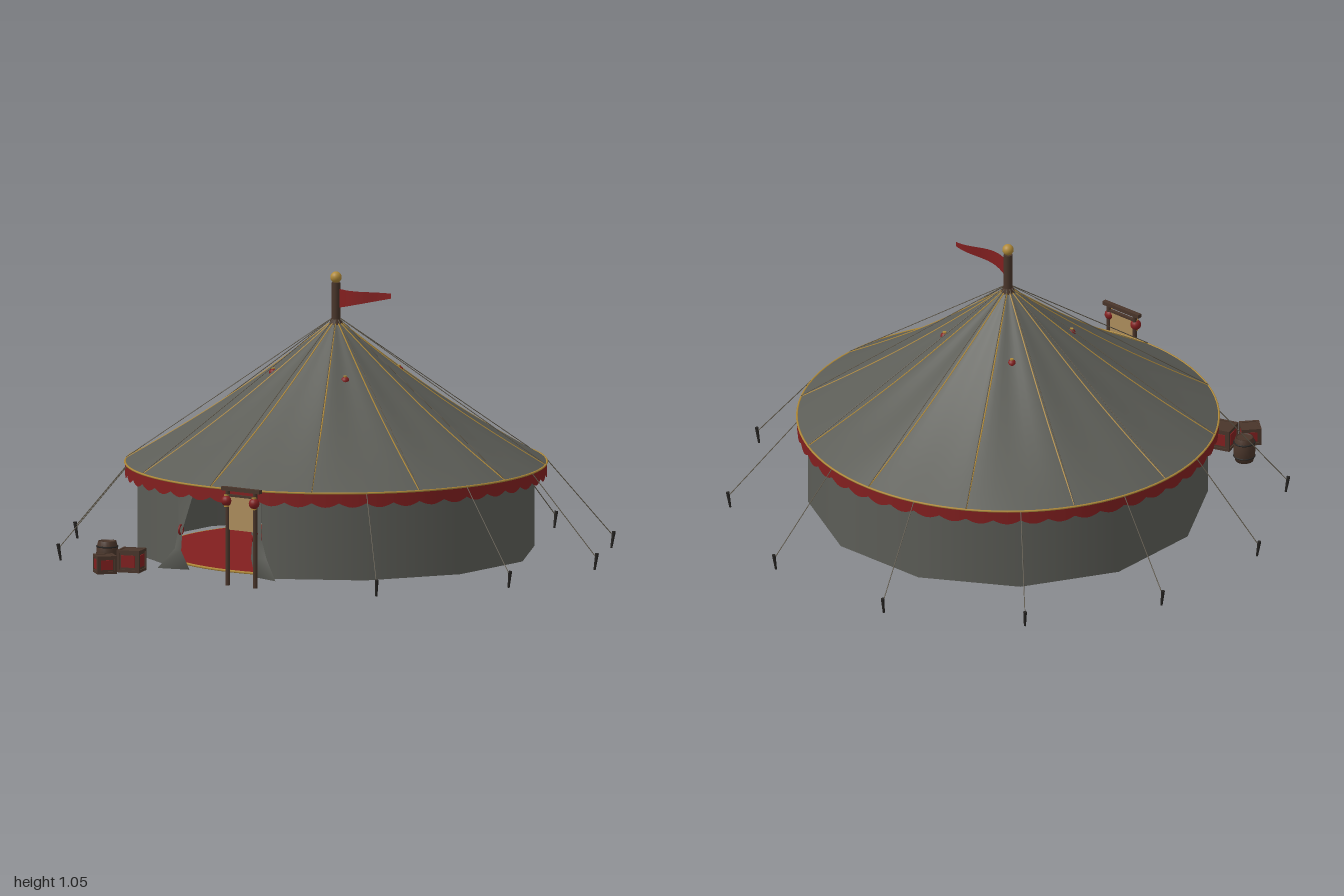
import * as THREE from 'three';

const mat = (name, color, side = THREE.FrontSide) => {
  const m = new THREE.MeshStandardMaterial({ color, side });
  m.name = name;
  return m;
};
const V = (x, y, z) => new THREE.Vector3(x, y, z);
const polar = (deg, r, y) => {
  const a = THREE.MathUtils.degToRad(deg);
  return V(Math.sin(a) * r, y, Math.cos(a) * r);
};

export function createModel() {
  const canvas = mat('grey canvas', 0x5c5d57, THREE.DoubleSide);
  const red = mat('deep red', 0x821f1f, THREE.DoubleSide);
  const gold = mat('dull gold', 0xb08a3a);
  const wood = mat('dark wood', 0x49352a);
  const iron = mat('dark iron', 0x262422);
  const rope = mat('rope', 0x5f584a);
  const parchment = mat('parchment', 0xab8c5c);

  const model = new THREE.Group();
  model.name = 'pavilionTent';
  const add = (parent, name, geo, material, x = 0, y = 0, z = 0) => {
    const m = new THREE.Mesh(geo, material);
    m.name = name;
    m.position.set(x, y, z);
    parent.add(m);
    return m;
  };
  const group = (name, x = 0, y = 0, z = 0, parent = model) => {
    const g = new THREE.Group();
    g.name = name;
    g.position.set(x, y, z);
    parent.add(g);
    return g;
  };
  // Straight round bar between two points
  const rod = (parent, name, a, b, r, material, r2 = r, sides = 6) => {
    const d = b.clone().sub(a);
    const m = add(parent, name, new THREE.CylinderGeometry(r2, r, d.length(), sides), material);
    m.position.copy(a).add(b).multiplyScalar(0.5);
    m.quaternion.setFromUnitVectors(V(0, 1, 0), d.normalize());
    return m;
  };
  const box = (parent, name, w, h, d, material, x, y, z) =>
    add(parent, name, new THREE.BoxGeometry(w, h, d), material, x, y, z);

  const tent = group('tent', 0, 0, 0.007);

  // Roof: concave cone, the cloth dips a little between twelve seams
  const EAVE = 0.775, EAVE_Y = 0.345, PEAK_Y = 0.86;
  const roofPoint = (t) => new THREE.Vector2(
    0.022 + (EAVE - 0.022) * t,
    PEAK_Y + (EAVE_Y - PEAK_Y) * t - 0.022 * Math.sin(Math.PI * t));
  const profile = [];
  for (let i = 12; i >= 0; i--) profile.push(roofPoint(i / 12));
  const roof = new THREE.LatheGeometry(profile, 96);
  const rp = roof.attributes.position;
  for (let i = 0; i < rp.count; i++) {
    const x = rp.getX(i), z = rp.getZ(i);
    const t = Math.hypot(x, z) / EAVE;
    const dip = Math.sin(6 * Math.atan2(x, z)) ** 2;
    rp.setY(i, rp.getY(i) - 0.012 * dip * Math.sin(Math.PI * Math.min(t, 1)));
  }
  roof.computeVertexNormals();
  add(tent, 'roof', roof, canvas);

  // Gold seams and the ridge ropes stretched above them
  for (let k = 0; k < 12; k++) {
    const pts = [0, 0.25, 0.5, 0.75, 1].map((t) => {
      const p = roofPoint(t);
      return polar(k * 30, p.x, p.y);
    });
    add(tent, 'roofSeam', new THREE.TubeGeometry(new THREE.CatmullRomCurve3(pts), 16, 0.0028, 5), gold);
    rod(tent, 'ridgeRope', polar(k * 30, 0.02, 0.875), polar(k * 30, EAVE, 0.349), 0.0016, rope);
  }
  add(tent, 'eaveTrim', new THREE.TorusGeometry(EAVE, 0.004, 6, 96), gold, 0, EAVE_Y, 0).rotation.x = Math.PI / 2;

  // Scalloped valance
  const valance = new THREE.LatheGeometry(
    [new THREE.Vector2(EAVE, 0.31), new THREE.Vector2(EAVE, EAVE_Y)], 288);
  const vp = valance.attributes.position;
  for (let i = 0; i < vp.count; i++) {
    if (vp.getY(i) > 0.33) continue;
    const a = Math.atan2(vp.getX(i), vp.getZ(i));
    vp.setY(i, 0.308 - 0.016 * Math.abs(Math.sin(24 * a)));
  }
  add(tent, 'valance', valance, red);

  // Twelve-sided wall with the front panel left open
  const rad = THREE.MathUtils.degToRad;
  add(tent, 'wall', new THREE.LatheGeometry(
    [new THREE.Vector2(0.737, 0.015), new THREE.Vector2(0.737, 0.355)], 11, rad(15), rad(330)), canvas);

  // Floor carpet with gold edge
  add(tent, 'carpet', new THREE.CylinderGeometry(0.645, 0.645, 0.008, 64), red, 0, 0.017, 0);
  add(tent, 'carpetEdge', new THREE.TorusGeometry(0.645, 0.005, 6, 64), gold, 0, 0.017, 0).rotation.x = Math.PI / 2;

  // Door flaps, gathered at a red tie and flaring at the foot
  for (const s of [-1, 1]) {
    const rows = [ // y, outer x, inner x, outer z, inner z
      [0.34, 0.19, 0.11, 0.712, 0.712],
      [0.25, 0.19, 0.135, 0.715, 0.722],
      [0.165, 0.19, 0.16, 0.715, 0.73],
      [0.09, 0.21, 0.16, 0.71, 0.738],
      [0.015, 0.27, 0.15, 0.735, 0.70],
    ];
    const pos = [], idx = [];
    rows.forEach(([y, xo, xi, zo, zi], i) => {
      pos.push(s * xo, y, zo, s * xi, y, zi);
      const n = i * 2;
      if (i < rows.length - 1) idx.push(n, n + 2, n + 1, n + 1, n + 2, n + 3);
    });
    const flap = new THREE.BufferGeometry();
    flap.setAttribute('position', new THREE.Float32BufferAttribute(pos, 3));
    flap.setIndex(s < 0 ? idx : idx.reverse());
    flap.computeVertexNormals();
    add(tent, 'doorFlap', flap, canvas);
    const tie = add(tent, 'flapTie', new THREE.TorusGeometry(0.017, 0.004, 6, 16), red, s * 0.172, 0.165, 0.723);
    tie.rotation.y = Math.PI / 2 - s * 0.2;
  }

  // Guy ropes and stakes, none in front of the door
  for (let k = 1; k < 11; k++) {
    const a = 15 + k * 30;
    rod(tent, 'guyRope', polar(a, EAVE, EAVE_Y), polar(a, 1.03, 0.045), 0.0018, rope);
    rod(tent, 'stake', polar(a, 1.022, 0), polar(a, 1.032, 0.062), 0.004, iron, 0.007);
  }

  // Centre pole, finial and pennant
  rod(tent, 'centrePole', V(0, 0.02, 0), V(0, 1.01, 0), 0.018, wood, 0.016, 16);
  add(tent, 'poleCollar', new THREE.CylinderGeometry(0.02, 0.028, 0.025, 16), wood, 0, 0.862, 0);
  add(tent, 'finial', new THREE.SphereGeometry(0.021, 20, 14), gold, 0, 1.03, 0);
  const flag = new THREE.PlaneGeometry(1, 1, 16, 2);
  const fp = flag.attributes.position;
  for (let i = 0; i < fp.count; i++) {
    const t = fp.getX(i) + 0.5, v = 0.5 - fp.getY(i);
    fp.setXYZ(i, 0.015 + 0.225 * t, 0.988 - v * (0.07 - 0.052 * t), 0.018 * Math.sin(t * 5));
  }
  flag.computeVertexNormals();
  add(tent, 'pennant', flag, red);

  // Lanterns
  const lantern = (parent, x, y, z, r) => {
    const g = group('lantern', x, y, z, parent);
    add(g, 'lanternBody', new THREE.SphereGeometry(r, 16, 12), red);
    for (const s of [-1, 1])
      add(g, 'lanternCap', new THREE.CylinderGeometry(r * 0.45, r * 0.45, r * 0.3, 12), gold, 0, s * r, 0);
  };
  for (const x of [-0.165, 0.165])
    for (const z of [-0.165, 0.165]) lantern(tent, x, 0.68, z, 0.016);

  // Table inside with a mug and a book
  const table = group('table', 0, 0, 0.3);
  box(table, 'tableTop', 0.2, 0.012, 0.12, wood, 0, 0.119, 0);
  for (const z of [-0.053, 0.053]) {
    box(table, 'tableRail', 0.19, 0.014, 0.008, red, 0, 0.106, z);
    for (const x of [-0.09, 0.09]) box(table, 'tableLeg', 0.012, 0.1, 0.012, red, x, 0.066, z);
  }
  add(table, 'mug', new THREE.CylinderGeometry(0.01, 0.01, 0.02, 12), iron, 0.052, 0.135, 0.02);
  box(table, 'book', 0.05, 0.008, 0.035, parchment, -0.03, 0.129, 0);

  // Notice board with two hanging lanterns
  const sign = group('noticeBoard', 0.226, 0, 0.893);
  for (const x of [-0.063, 0.063]) {
    rod(sign, 'signPost', V(x, 0.01, 0), V(x, 0.365, 0), 0.0085, wood, 0.0085, 10);
    lantern(sign, x, 0.325, 0.006, 0.02);
  }
  box(sign, 'signBeam', 0.175, 0.014, 0.018, wood, 0, 0.369, 0);
  box(sign, 'signRail', 0.126, 0.008, 0.012, wood, 0, 0.345, 0);
  box(sign, 'signSheet', 0.112, 0.125, 0.006, parchment, 0, 0.28, 0);

  // Barrel with iron hoops
  const barrel = group('barrel', -0.455, 0.012, 0.803);
  const stave = [[0, 0], [0.033, 0], [0.039, 0.022], [0.041, 0.047], [0.039, 0.072], [0.033, 0.095], [0.03, 0.095], [0.03, 0.09], [0, 0.09]];
  add(barrel, 'barrelBody', new THREE.LatheGeometry(stave.map((p) => new THREE.Vector2(...p)), 20), wood);
  for (const y of [0.02, 0.075])
    add(barrel, 'barrelHoop', new THREE.TorusGeometry(0.0385, 0.003, 6, 24), iron, 0, y, 0).rotation.x = Math.PI / 2;

  // Crates: framed boxes with red panels
  const crate = (x, z, w, h, turn) => {
    const g = group('crate', x, 0.012 + h / 2, z);
    g.rotation.y = turn;
    box(g, 'crateBox', w - 0.008, h - 0.004, w - 0.008, wood, 0, 0, 0);
    for (const a of [-1, 1]) {
      box(g, 'cratePanel', w * 0.6, h * 0.55, 0.003, red, 0, 0, a * (w / 2 - 0.003));
      box(g, 'cratePanel', 0.003, h * 0.55, w * 0.6, red, a * (w / 2 - 0.003), 0, 0);
      for (const b of [-1, 1]) {
        const e = w / 2 - 0.005, f = h / 2 - 0.005;
        box(g, 'crateEdge', 0.01, h, 0.01, wood, a * e, 0, b * e);
        box(g, 'crateEdge', w, 0.01, 0.01, wood, 0, a * f, b * e);
        box(g, 'crateEdge', 0.01, 0.01, w, wood, a * e, b * f, 0);
      }
    }
  };
  crate(-0.315, 0.842, 0.088, 0.082, 0.32);
  crate(-0.37, 0.932, 0.074, 0.066, -0.7);

  return model;
}
